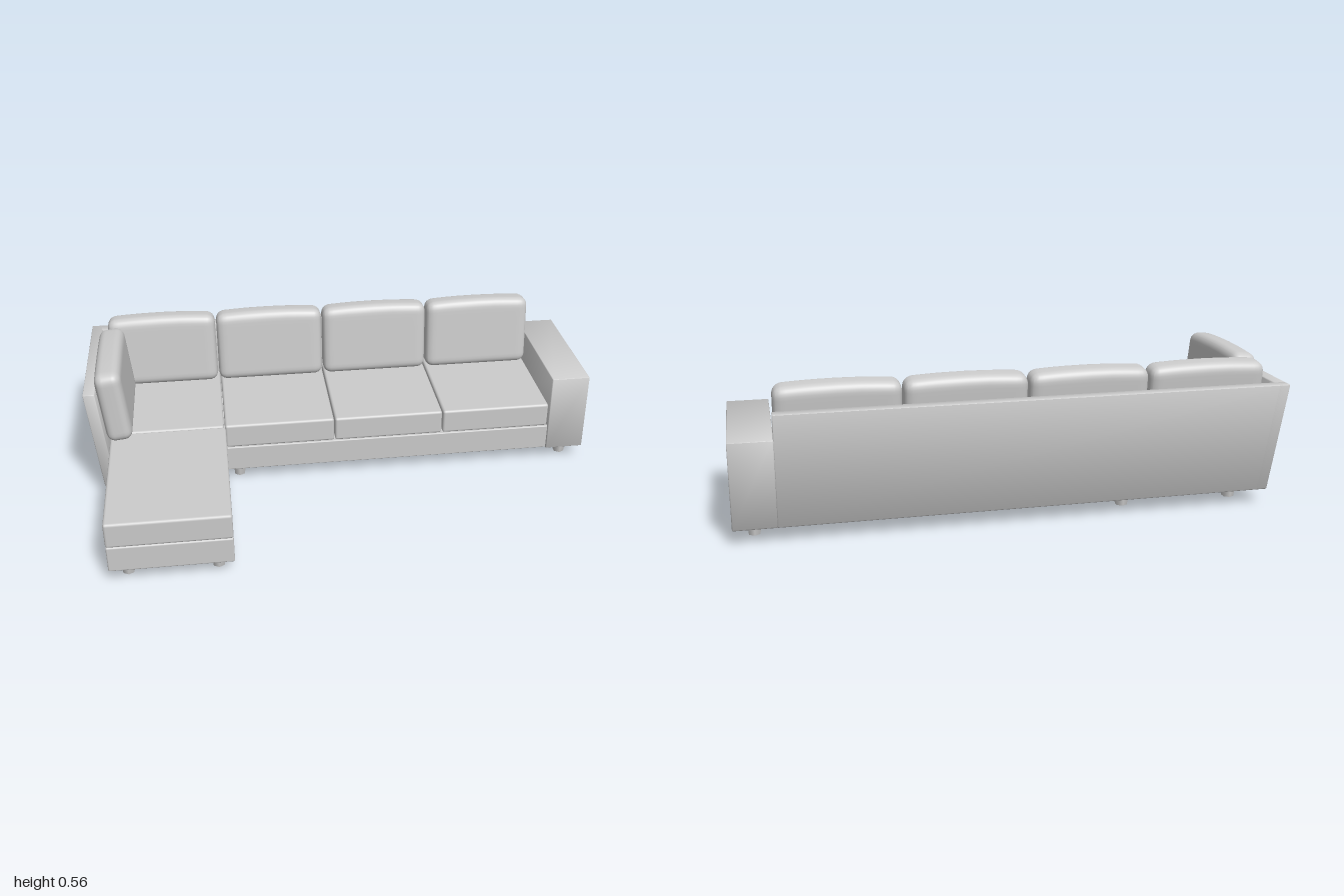
import * as THREE from 'three';
import { RoundedBoxGeometry } from 'three/addons/geometries/RoundedBoxGeometry.js';
import { mergeVertices, toCreasedNormals } from 'three/addons/utils/BufferGeometryUtils.js';

const material = new THREE.MeshStandardMaterial({ color: 0xcccccc });
const FLOOR = 0.055, SEAT = 0.16, SEAT_TOP = 0.26, BACK_TOP = 0.47;

// Moves every vertex of a geometry by a rule
function warp(geometry, rule) {
  const pos = geometry.attributes.position;
  const v = new THREE.Vector3();
  for (let i = 0; i < pos.count; i++) {
    v.fromBufferAttribute(pos, i);
    rule(v);
    pos.setXYZ(i, v.x, v.y, v.z);
  }
  return geometry;
}

// Softly edged block between two corners, with an optional lean
function block(name, [x0, x1], [y0, y1], [z0, z1], radius, rule) {
  let geo = new RoundedBoxGeometry(x1 - x0, y1 - y0, z1 - z0, 2, radius);
  geo.translate((x0 + x1) / 2, (y0 + y1) / 2, (z0 + z1) / 2);
  if (rule) geo = toCreasedNormals(warp(geo, rule), 0.7);
  const mesh = new THREE.Mesh(geo, material);
  mesh.name = name;
  return mesh;
}

// Plump cushion: box rounded at the edges and crowned along the top
function cushionGeometry(w, h, d, r) {
  let geo = new THREE.BoxGeometry(2, 2, 2, 16, 16, 16);
  const spread = (u) => Math.sign(u) * Math.sqrt(Math.abs(u));
  const half = new THREE.Vector3(w / 2, h / 2, d / 2);
  const core = half.clone().subScalar(r);
  const low = core.clone().negate();
  const inner = new THREE.Vector3();
  warp(geo, (v) => {
    v.set(spread(v.x), spread(v.y), spread(v.z)).multiply(half);
    inner.copy(v).clamp(low, core);
    v.sub(inner).setLength(r).add(inner);
    const across = 1 - (v.x / half.x) ** 2;
    if (v.y > 0) v.y += 0.009 * across * (v.y / half.y);
  });
  geo.deleteAttribute('normal');
  geo.deleteAttribute('uv');
  geo = mergeVertices(geo, 1e-5);
  geo.computeVertexNormals();
  return geo;
}

export function createModel() {
  const sofa = new THREE.Group();
  sofa.name = 'cornerSofa';

  // Outward lean: 0 at the bottom of the frame, 1 at the top of the back
  const rise = (v) => (v.y - FLOOR) / (BACK_TOP - FLOOR);
  const leanBack = (v) => { if (v.z < -0.4) v.z -= 0.05 * rise(v); };
  const leanCorner = (v) => {
    const t = rise(v);
    if (v.x < -0.85) v.x -= 0.04 * t;
    if (v.z < -0.4) v.z -= 0.05 * t;
  };

  // Frame
  sofa.add(
    block('mainBase', [-0.95, 0.87], [FLOOR, SEAT - 0.002], [-0.515, -0.03], 0.004),
    block('chaiseBase', [-0.92, -0.472], [FLOOR, SEAT - 0.002], [-0.06, 0.572], 0.006),
    block('backPanel', [-0.96, 0.848], [FLOOR, BACK_TOP], [-0.525, -0.48], 0.004, leanCorner),
    block('leftPanel', [-0.96, -0.915], [FLOOR, BACK_TOP], [-0.525, 0.028], 0.004, leanCorner),
    block('rightArm', [0.846, 1], [FLOOR, 0.38], [-0.525, -0.022], 0.004, leanBack),
  );

  // Seat cushions: corner seat, three more along the row, and the chaise
  const edges = [-0.92, -0.477, -0.038, 0.403, 0.845];
  for (let i = 0; i < 4; i++) {
    sofa.add(block('seatCushion', [edges[i] + 0.002, edges[i + 1] - 0.002],
      [SEAT, SEAT_TOP], [-0.505, -0.03], 0.01));
  }
  sofa.add(block('chaiseCushion', [-0.92, -0.472], [SEAT, SEAT_TOP], [-0.027, 0.576], 0.01));

  // Back cushions leaning on the back panel, and one on the left panel
  const cushion = cushionGeometry(0.438, 0.288, 0.1, 0.034);
  const addCushion = (name, x, z, turn) => {
    const mesh = new THREE.Mesh(cushion, material);
    mesh.name = name;
    mesh.position.set(x, 0.402, z);
    mesh.rotation.set(-0.1, turn, 0, 'YXZ');
    sofa.add(mesh);
  };
  for (let i = 0; i < 4; i++) addCushion('backCushion', -0.706 + 0.4435 * i, -0.463, 0);
  addCushion('sideCushion', -0.892, -0.18, Math.PI / 2);

  // Tapered legs
  const legGeo = new THREE.CylinderGeometry(0.029, 0.023, FLOOR + 0.004, 6);
  const spots = [[-0.855, 0.502], [-0.53, 0.502]];
  for (const x of [-0.855, -0.425, 0.925]) spots.push([x, -0.09], [x, -0.415]);
  for (const [x, z] of spots) {
    const leg = new THREE.Mesh(legGeo, material);
    leg.name = 'leg';
    leg.position.set(x, (FLOOR + 0.004) / 2, z);
    sofa.add(leg);
  }
  return sofa;
}
